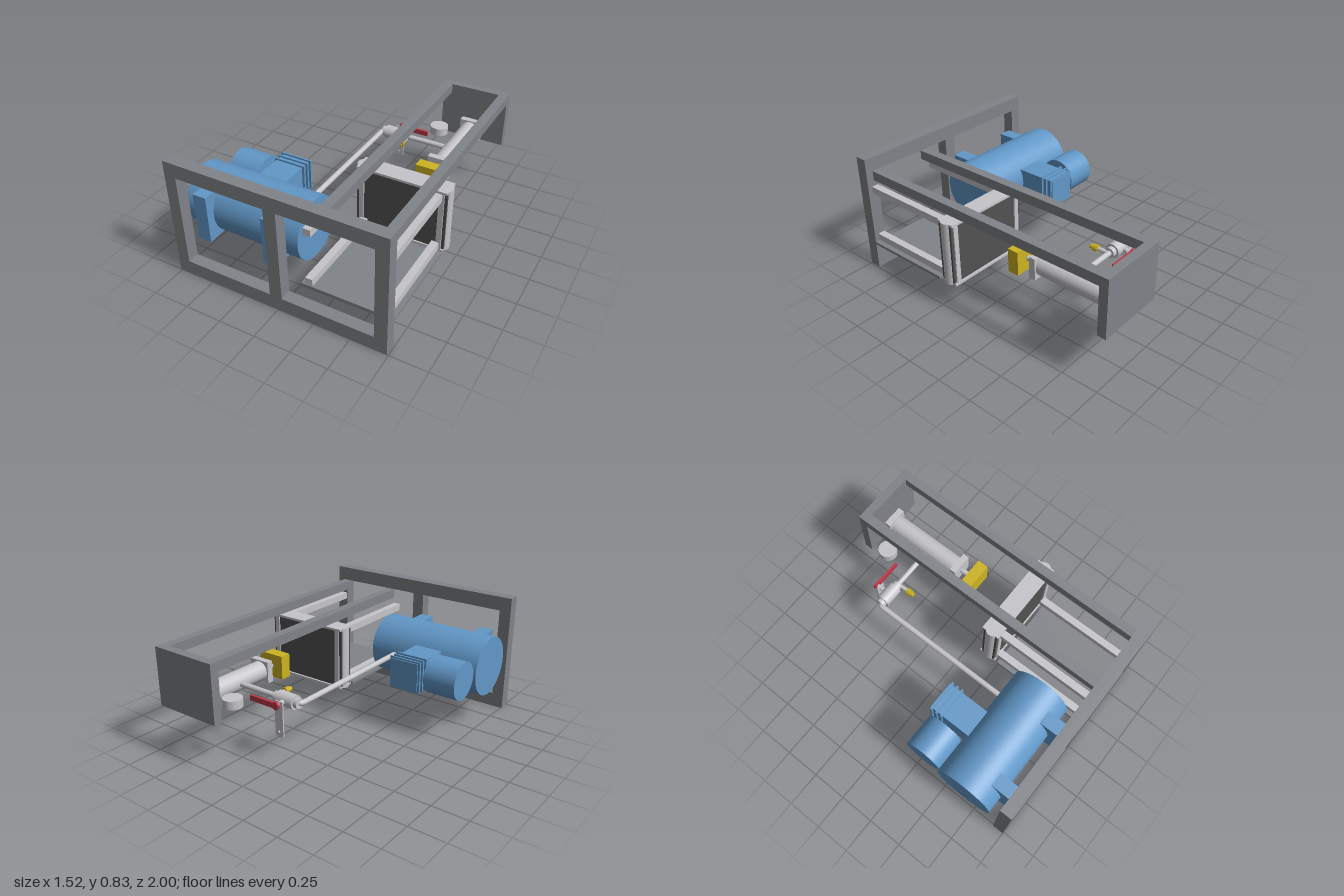
import * as THREE from 'three';

const mat = (name, color) => {
  const m = new THREE.MeshStandardMaterial({ color });
  m.name = name;
  return m;
};

export function createModel() {
  const root = new THREE.Group();
  root.name = 'hydraulicPress';
  const grey = mat('frameGrey', 0x808388);
  const blue = mat('compressorBlue', 0x6298c8);
  const steel = mat('lightSteel', 0xc6c6ca);
  const dark = mat('darkPanel', 0x525252);
  const yellow = mat('brassYellow', 0xcdb322);
  const red = mat('handleRed', 0xbe3848);

  const add = (name, geo, material) => {
    const m = new THREE.Mesh(geo, material);
    m.name = name;
    root.add(m);
    return m;
  };
  // Box given by its limits on each axis
  const box = (name, material, x0, x1, y0, y1, z0, z1) =>
    add(name, new THREE.BoxGeometry(x1 - x0, y1 - y0, z1 - z0), material)
      .position.set((x0 + x1) / 2, (y0 + y1) / 2, (z0 + z1) / 2);
  // Cylinder along an axis, starting at from and ending at to on that axis
  const rod = (name, material, axis, r, from, to, a, b, sides = 40) => {
    const g = new THREE.CylinderGeometry(r, r, to - from, sides);
    const c = (from + to) / 2;
    if (axis === 'x') g.rotateZ(Math.PI / 2).translate(c, a, b);
    if (axis === 'y') g.translate(a, c, b);
    if (axis === 'z') g.rotateX(Math.PI / 2).translate(a, b, c);
    return add(name, g, material);
  };

  const cy = 0.42; // shared axis height

  // Front frame: one outline with two windows
  const outline = new THREE.Shape([[-0.76, 0], [0.74, 0], [0.74, 0.835], [-0.76, 0.835]]
    .map(p => new THREE.Vector2(...p)));
  for (const [a, b] of [[-0.677, -0.053], [0.032, 0.655]]) {
    outline.holes.push(new THREE.Path([[a, 0.1], [a, 0.736], [b, 0.736], [b, 0.1]]
      .map(p => new THREE.Vector2(...p))));
  }
  add('frontFrame', new THREE.ExtrudeGeometry(outline, { depth: 0.082, bevelEnabled: false }), grey)
    .position.z = 0.918;

  // Long beams and back plate
  box('beam', grey, 0.206, 0.27, 0.67, 0.736, -0.94, 0.918);
  box('beam', grey, 0.624, 0.688, 0.67, 0.736, -0.94, 0.918);
  box('backPlate', grey, 0.206, 0.688, 0.338, 0.736, -1, -0.94);

  // Air tank with mounting feet
  rod('tank', blue, 'x', 0.207, -0.758, 0.073, cy, 0.654, 64);
  for (const x of [-0.64, -0.143]) box('tankFoot', blue, x, x + 0.096, 0.252, 0.585, 0.78, 0.918);

  // Motor and finned compressor head
  rod('motor', blue, 'x', 0.132, -0.742, -0.513, cy, 0.315, 48);
  box('compressorHead', blue, -0.476, -0.276, 0.322, 0.52, 0.167, 0.5);
  for (const z of [0.181, 0.22, 0.26])
    box('coolingFin', blue, -0.49, -0.26, 0.308, 0.532, z - 0.006, z + 0.006);

  // Tray floor and guide rails
  box('trayFloor', grey, 0.122, 0.74, 0.187, 0.206, 0.268, 0.918);
  for (const x of [0.152, 0.66])
    for (const y of [0.212, 0.579]) box('guideRail', steel, x, x + 0.05, y, y + 0.049, 0.24, 0.918);

  // Gate: end plates, dark faces, edge strips and side rollers
  for (const y of [0.198, 0.63]) box('gatePlate', steel, 0.122, 0.74, y, y + 0.016, 0.118, 0.246);
  for (const z of [0.132, 0.222]) box('gatePanel', dark, 0.122, 0.74, 0.214, 0.63, z, z + 0.014);
  for (const x of [0.14, 0.687])
    for (const z of [0.123, 0.236]) box('gateStrip', steel, x, x + 0.035, 0.214, 0.63, z, z + 0.009);
  for (const x of [0.156, 0.706]) {
    rod('gateRoller', steel, 'y', 0.051, 0.198, 0.646, x, 0.184);
  }

  // Hydraulic cylinder, piston rod and ram
  const px = 0.447;
  rod('pressCylinder', steel, 'z', 0.067, -0.9, -0.35, px, cy, 48);
  for (const z of [-0.94, -0.352])
    box('cylinderFlange', steel, px - 0.076, px + 0.076, cy - 0.075, cy + 0.075, z, z + 0.046);
  rod('pistonRod', steel, 'z', 0.019, -0.31, -0.23, px, cy);
  box('ram', yellow, 0.35, 0.545, 0.338, 0.504, -0.235, -0.156);

  // Pressure gauge
  rod('gauge', steel, 'y', 0.065, 0.39, 0.448, 0.24, -0.81, 48);

  // Air pipe with a rounded corner
  const v = (x, z) => new THREE.Vector3(x, cy, z);
  const path = new THREE.CurvePath();
  path.add(new THREE.LineCurve3(v(-0.114, 0.47), v(-0.114, -0.55)));
  path.add(new THREE.QuadraticBezierCurve3(v(-0.114, -0.55), v(-0.114, -0.587), v(-0.077, -0.587)));
  path.add(new THREE.LineCurve3(v(-0.077, -0.587), v(0.4, -0.587)));
  add('airPipe', new THREE.TubeGeometry(path, 160, 0.0185, 20), steel);

  // Valve body, collars and stem
  rod('valveBody', steel, 'x', 0.048, -0.08, 0.053, cy, -0.587);
  rod('valveCollar', steel, 'x', 0.035, -0.108, -0.08, cy, -0.587, 24);
  rod('valveCollar', steel, 'x', 0.035, 0.053, 0.085, cy, -0.587, 24);
  rod('valveStem', steel, 'z', 0.016, -0.7, -0.63, -0.01, cy, 24);

  // Hanging valve bracket with a hole near its lower end
  const plate = new THREE.Shape([[-0.042, 0.2], [0.021, 0.2], [0.021, 0.44], [-0.042, 0.44]]
    .map(p => new THREE.Vector2(...p)));
  plate.holes.push(new THREE.Path().absarc(-0.01, 0.235, 0.009, 0, Math.PI * 2, true));
  add('valveBracket', new THREE.ExtrudeGeometry(plate, { depth: 0.009, bevelEnabled: false }), steel)
    .position.z = -0.672;

  // Red lever
  rod('leverHub', red, 'z', 0.026, -0.706, -0.686, -0.011, cy, 24);
  box('lever', red, -0.01, 0.196, cy - 0.018, cy + 0.018, -0.705, -0.687);

  // Brass drain fitting
  rod('fittingStub', steel, 'z', 0.014, -0.587, -0.5, 0.087, cy, 20);
  rod('fittingNut', yellow, 'z', 0.025, -0.506, -0.468, 0.087, cy, 6);
  rod('fittingTip', yellow, 'z', 0.015, -0.47, -0.447, 0.087, cy, 20);

  return root;
}
